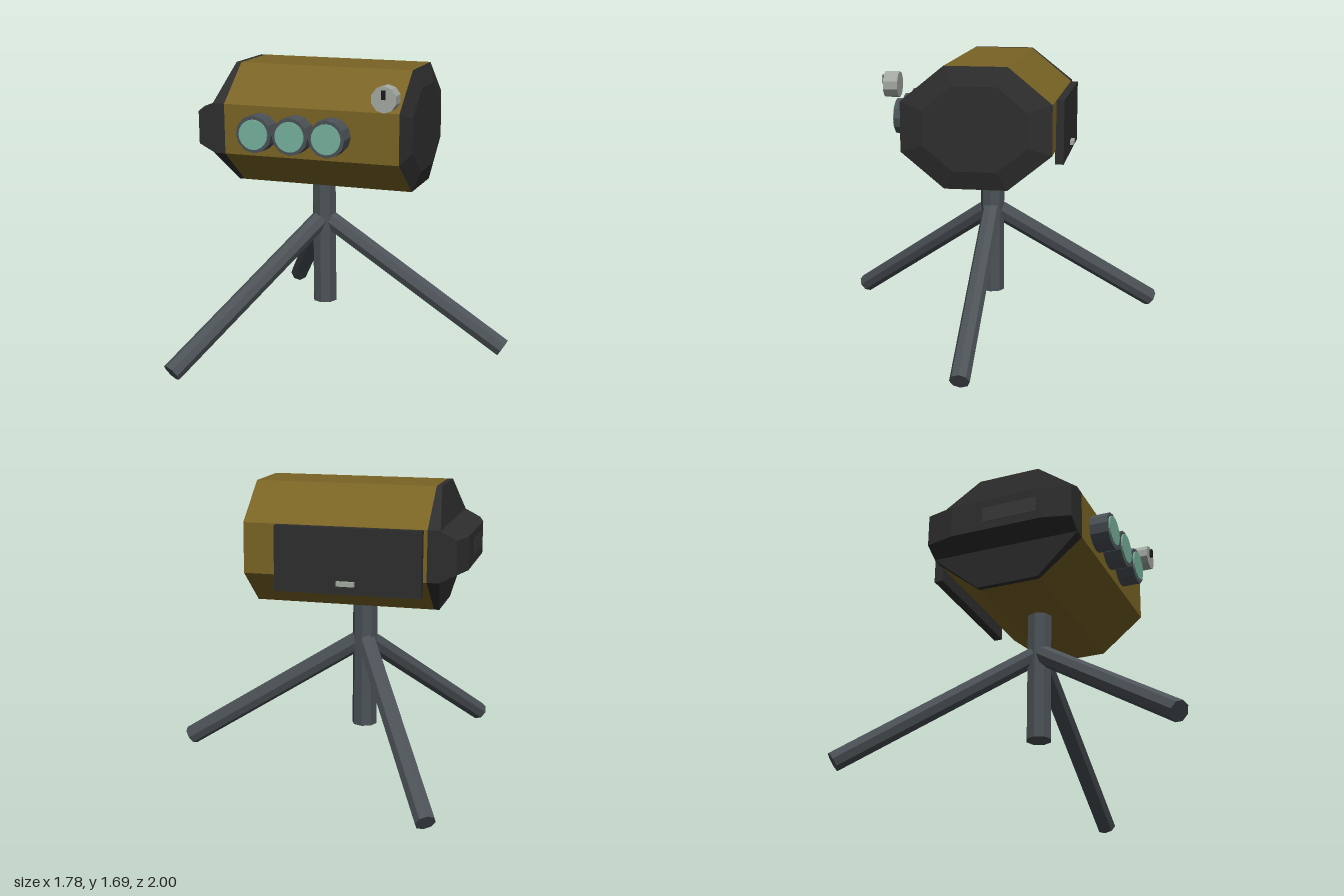
import * as THREE from 'three';
import { ConvexGeometry } from 'three/addons/geometries/ConvexGeometry.js';

const mat = (name, color) => {
  const m = new THREE.MeshStandardMaterial({ color, flatShading: true });
  m.name = name;
  return m;
};

export function createModel() {
  const ochre = mat('ochre', 0x7a6425);
  const charcoal = mat('charcoal', 0x2e2e2e);
  const steel = mat('steel grey', 0x4c5257);
  const glass = mat('green glass', 0x77b19c);
  const silver = mat('silver', 0xa4aaa3);
  const black = mat('black', 0x1a1a1a);

  const model = new THREE.Group();
  model.name = 'tripodDevice';
  const add = (name, geometry, material, x = 0, y = 0, z = 0, parent = model) => {
    const mesh = new THREE.Mesh(geometry, material);
    mesh.name = name;
    mesh.position.set(x, y, z);
    parent.add(mesh);
    return mesh;
  };
  const hull = (...sections) => new ConvexGeometry(sections.flat());

  // Octagonal section across x; the side corners may sit at another x
  const midY = 1.344;
  const octagon = (x, s = 1, sideX = x) => {
    const pts = [];
    for (const a of [-1, 1]) for (const b of [-1, 1]) {
      pts.push(new THREE.Vector3(x, midY + a * 0.347 * s, b * 0.18 * s));
      pts.push(new THREE.Vector3(sideX, midY + a * 0.143 * s, b * 0.43 * s));
    }
    return pts;
  };
  const rectangle = (x, h, w) => [-1, 1].flatMap(a => [-1, 1].map(
    b => new THREE.Vector3(x, midY + a * h, b * w)));

  // Housing and end caps
  add('housing', hull(octagon(-0.69), octagon(0.345)), ochre);
  add('rightCap', hull(octagon(0.345), octagon(0.382, 0.69)), charcoal);
  add('leftCap', hull(octagon(-0.72, 1, -0.76), octagon(-0.69)), charcoal);
  add('leftSnout', hull(rectangle(-0.755, 0.143, 0.43), rectangle(-0.85, 0.094, 0.43),
    rectangle(-0.89, 0.094, 0.27)), charcoal);
  add('snoutPanel', new THREE.BoxGeometry(0.006, 0.09, 0.32), steel, -0.889, midY, 0.08)
    .material = mat('dark grey', 0x383838);

  // Back door with its latch
  add('backDoor', new THREE.BoxGeometry(0.825, 0.368, 0.05), charcoal, -0.257, 1.302, -0.45);
  add('doorLatch', new THREE.BoxGeometry(0.1, 0.026, 0.025), silver, -0.252, 1.18, -0.484);

  // Front lenses
  const disc = (r, depth, sides) => new THREE.CylinderGeometry(r, r, depth, sides).rotateX(Math.PI / 2);
  for (const x of [-0.467, -0.252, -0.038]) {
    add('lensBarrel', disc(0.106, 0.125, 12), steel, x, midY, 0.473);
    add('lensGlass', disc(0.085, 0.01, 20), glass, x, midY, 0.54);
  }

  // Dial with pointer
  add('dial', disc(0.073, 0.082, 10), silver, 0.285, 1.576, 0.481);
  add('dialPointer', new THREE.BoxGeometry(0.018, 0.05, 0.016), black, 0.285, 1.603, 0.53);

  // Tripod: centre column and three splayed legs
  const hubX = -0.252, hubY = 0.766, reach = 1.11, drop = 0.714;
  add('centreColumn', new THREE.CylinderGeometry(0.073, 0.073, 0.785, 8), steel, hubX, 0.6275, 0);
  for (let i = 0; i < 3; i++) {
    const leg = new THREE.Group();
    leg.name = 'leg';
    leg.position.set(hubX, hubY, 0);
    leg.rotation.y = i * Math.PI * 2 / 3;
    const tube = add('legTube', new THREE.CylinderGeometry(0.057, 0.057, Math.hypot(reach, drop), 8),
      steel, reach / 2, -drop / 2, 0, leg);
    tube.rotation.z = Math.atan2(reach, drop);
    model.add(leg);
  }
  return model;
}
